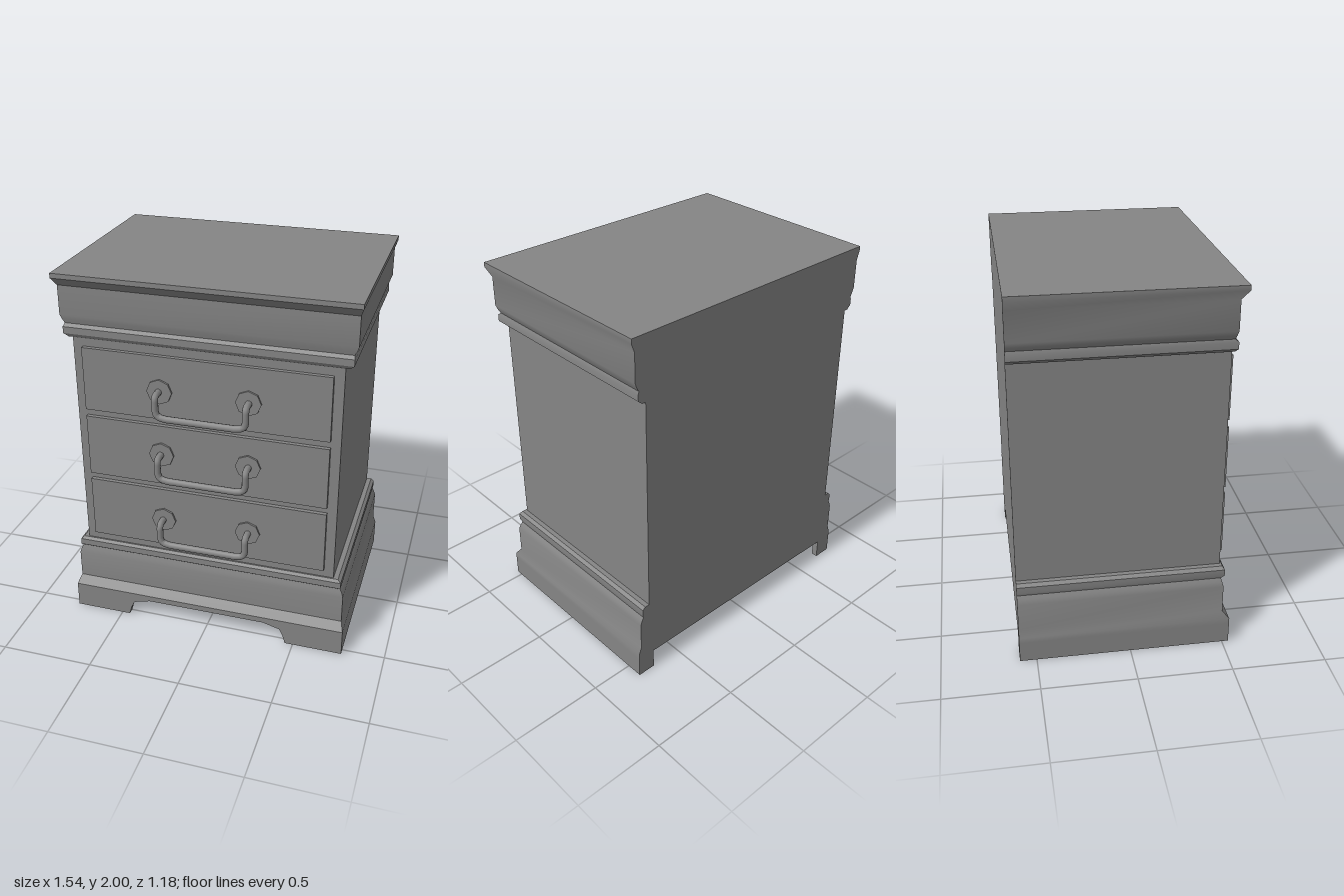
import * as THREE from 'three';
import { toCreasedNormals } from 'three/addons/utils/BufferGeometryUtils.js';

const material = new THREE.MeshStandardMaterial({ color: 0x858585 });
const BACK = -0.589;
const SKIRT_TOP = 0.113;

function add(parent, name, geometry, x = 0, y = 0, z = 0) {
  const mesh = new THREE.Mesh(geometry, material);
  mesh.name = name;
  mesh.position.set(x, y, z);
  parent.add(mesh);
  return mesh;
}

// Moulded cabinet: rectangles stacked upward, flush at the back
function carcassGeometry() {
  // [y, half width, front z]
  const levels = [
    [SKIRT_TOP, 0.77, 0.535], [0.145, 0.77, 0.535], [0.19, 0.754, 0.498],
    [0.345, 0.754, 0.497], [0.37, 0.746, 0.491], [0.39, 0.735, 0.485],
    [0.405, 0.739, 0.504], [0.44, 0.739, 0.504], [0.455, 0.722, 0.493],
    [0.455, 0.696, 0.485], [1.66, 0.696, 0.485], [1.66, 0.716, 0.491],
    [1.68, 0.739, 0.504], [1.715, 0.739, 0.504], [1.73, 0.734, 0.486],
    [1.75, 0.745, 0.491], [1.775, 0.754, 0.497], [1.93, 0.754, 0.497],
    [1.975, 0.77, 0.535], [2, 0.77, 0.535],
  ];
  const positions = [];
  const index = [];
  for (const [y, w, z] of levels) {
    positions.push(-w, y, z, w, y, z, w, y, BACK, -w, y, BACK);
  }
  for (let i = 0; i < levels.length - 1; i++) {
    for (let j = 0; j < 4; j++) {
      const a = i * 4 + j;
      const b = i * 4 + (j + 1) % 4;
      index.push(a, b, b + 4, a, b + 4, a + 4);
    }
  }
  const t = (levels.length - 1) * 4;
  index.push(0, 2, 1, 0, 3, 2, t, t + 1, t + 2, t, t + 2, t + 3);
  const geometry = new THREE.BufferGeometry();
  geometry.setAttribute('position', new THREE.Float32BufferAttribute(positions, 3));
  geometry.setIndex(index);
  return toCreasedNormals(geometry, 0.5);
}

// Foot with a bracket curve on its inner edge, mirrored for the other side
function frontFootGeometry(side) {
  const points = [[0.77, 0], [0.77, SKIRT_TOP], [0.33, SKIRT_TOP], [0.422, 0.088], [0.442, 0.05], [0.456, 0]];
  const shape = new THREE.Shape(points.map(([x, y]) => new THREE.Vector2(side * x, y)));
  return new THREE.ExtrudeGeometry(shape, { depth: 0.035, bevelEnabled: false });
}

// Bail pull with two octagonal rosettes
function createHandle() {
  const handle = new THREE.Group();
  handle.name = 'handle';
  const half = [
    [0.235, 0, 0], [0.235, 0, 0.045], [0.235, -0.004, 0.058], [0.235, -0.018, 0.065],
    [0.235, -0.075, 0.065], [0.229, -0.1, 0.065], [0.212, -0.113, 0.065],
    [0.18, -0.119, 0.065], [0.14, -0.119, 0.065],
  ];
  const path = [
    ...half.map(([x, y, z]) => new THREE.Vector3(-x, y, z)),
    ...half.reverse().map(([x, y, z]) => new THREE.Vector3(x, y, z)),
  ];
  const curve = new THREE.CatmullRomCurve3(path, false, 'catmullrom', 0.15);
  add(handle, 'bail', new THREE.TubeGeometry(curve, 96, 0.018, 10));
  for (const side of [-1, 1]) {
    const rosette = new THREE.CylinderGeometry(0.067, 0.067, 0.014, 8);
    rosette.rotateX(Math.PI / 2);
    add(handle, 'rosette', toCreasedNormals(rosette, 0.3), side * 0.232, 0, 0.004);
  }
  return handle;
}

export function createModel() {
  const model = new THREE.Group();
  model.name = 'nightstand';
  add(model, 'carcass', carcassGeometry());

  // Base skirt: bracket feet in front, solid sides, small returns at the back
  for (const side of [-1, 1]) {
    add(model, 'frontFoot', frontFootGeometry(side), 0, 0, 0.5);
    add(model, 'sideSkirt', new THREE.BoxGeometry(0.035, SKIRT_TOP, 0.5 - BACK),
      side * 0.7525, SKIRT_TOP / 2, (0.5 + BACK) / 2);
    add(model, 'backFoot', new THREE.BoxGeometry(0.065, SKIRT_TOP, 0.035),
      side * 0.7025, SKIRT_TOP / 2, BACK + 0.0175);
  }

  // Drawers: [bottom, top, handle height]
  for (const [bottom, top, pull] of [[0.504, 0.85, 0.667], [0.887, 1.228, 1.065], [1.268, 1.614, 1.425]]) {
    const drawer = new THREE.Group();
    drawer.name = 'drawer';
    add(drawer, 'drawerFront', new THREE.BoxGeometry(1.29, top - bottom, 0.04), 0, (top + bottom) / 2, 0.487);
    const handle = createHandle();
    handle.position.set(0, pull, 0.507);
    drawer.add(handle);
    model.add(drawer);
  }
  return model;
}
